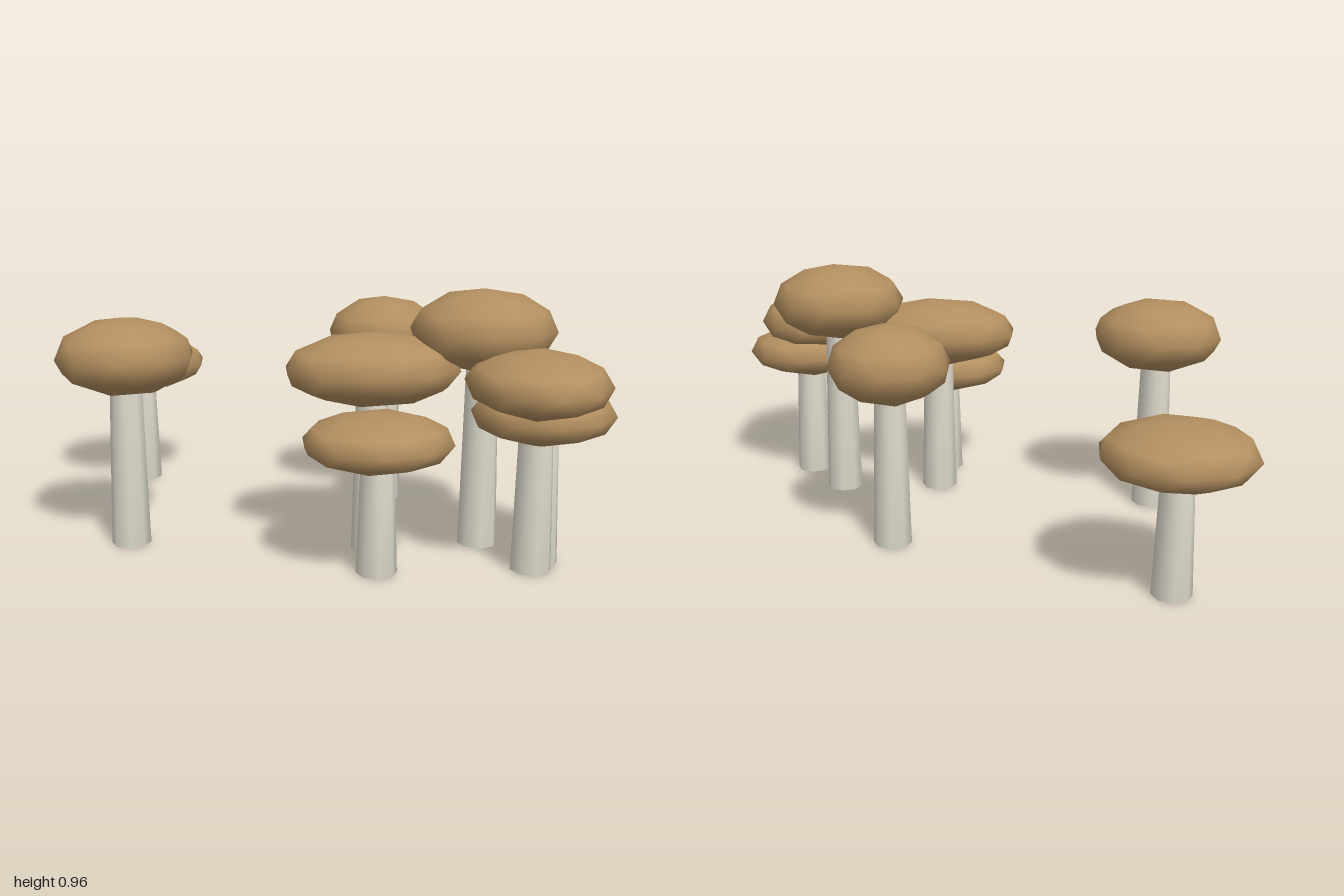
import * as THREE from 'three';
import { mergeVertices } from 'three/addons/utils/BufferGeometryUtils.js';

// Shares vertices so the low-poly form shades smoothly
function smooth(geometry) {
  geometry.deleteAttribute('normal');
  geometry.deleteAttribute('uv');
  const merged = mergeVertices(geometry, 1e-4);
  merged.computeVertexNormals();
  return merged;
}

// Unit icosphere with one corner pointing straight up
function icosphere() {
  const g = new THREE.IcosahedronGeometry(1, 1);
  g.rotateX(-Math.atan((1 + Math.sqrt(5)) / 2));
  g.rotateY(Math.PI / 2);
  return smooth(g);
}

// x, z of the mushroom; cap centre height; cap half sizes in x, y, z
const mushrooms = [
  [-0.735, -0.625, 0.52, 0.279, 0.11, 0.265],
  [-0.715, 0.225, 0.713, 0.255, 0.142, 0.233],
  [0.29, -0.265, 0.705, 0.229, 0.148, 0.225],
  [0.175, 0.35, 0.68, 0.324, 0.133, 0.22],
  [0.17, 0.582, 0.475, 0.268, 0.1, 0.243],
  [0.58, 0.308, 0.81, 0.268, 0.15, 0.253],
  [0.717, 0.587, 0.672, 0.25, 0.113, 0.298],
  [0.757, 0.52, 0.548, 0.255, 0.103, 0.23],
];

export function createModel() {
  const model = new THREE.Group();
  model.name = 'mushroomCluster';
  const capMaterial = new THREE.MeshStandardMaterial({ color: 0xb38f60 });
  const stemMaterial = new THREE.MeshStandardMaterial({ color: 0xdfdbcd });
  const capGeometry = icosphere();

  for (const [x, z, y, rx, ry, rz] of mushrooms) {
    const mushroom = new THREE.Group();
    mushroom.name = 'mushroom';
    mushroom.position.set(x, 0, z);

    // Flattened rounded cap
    const cap = new THREE.Mesh(capGeometry, capMaterial);
    cap.name = 'cap';
    cap.position.y = y;
    cap.scale.set(rx, ry, rz);

    // Tapered stem ending inside the cap
    const stem = new THREE.Mesh(smooth(new THREE.CylinderGeometry(0.056, 0.073, y, 8)), stemMaterial);
    stem.name = 'stem';
    stem.position.y = y / 2;

    mushroom.add(cap, stem);
    model.add(mushroom);
  }
  return model;
}
